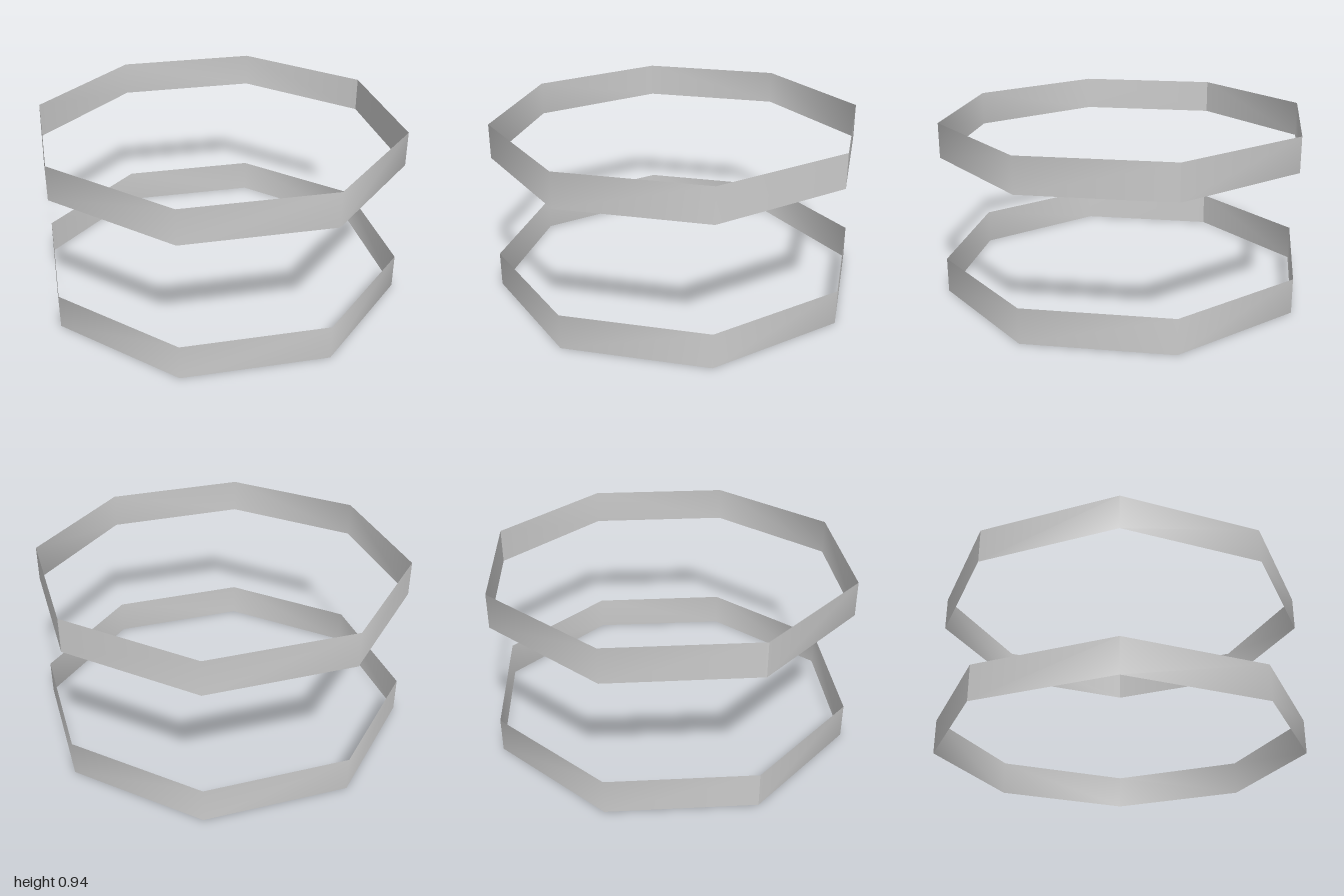
import * as THREE from 'three';

const STEP = Math.PI / 4; // eight-sided rings with corners on the axes

export function createModel() {
  const group = new THREE.Group();
  const material = new THREE.MeshStandardMaterial({ color: 0xcccccc, side: THREE.DoubleSide });

  // Open, paper-thin band running over a number of octagon sides
  function addBand(name, bottom, top, startCorner, sides) {
    const geometry = new THREE.CylinderGeometry(
      1, 1, top - bottom, sides, 1, true, startCorner * STEP, sides * STEP);
    geometry.computeVertexNormals(); // smooth along the band, creased at its ends
    const band = new THREE.Mesh(geometry, material);
    band.name = name;
    band.position.y = (bottom + top) / 2;
    group.add(band);
  }

  // Lower ring: one strip closing on itself
  addBand('lowerRing', 0, 0.188, 5, 8);

  // Upper ring: two strips meeting at creased corners
  addBand('upperRingFront', 0.757, 0.943, 5, 5);
  addBand('upperRingBack', 0.757, 0.943, 2, 3);

  return group;
}
